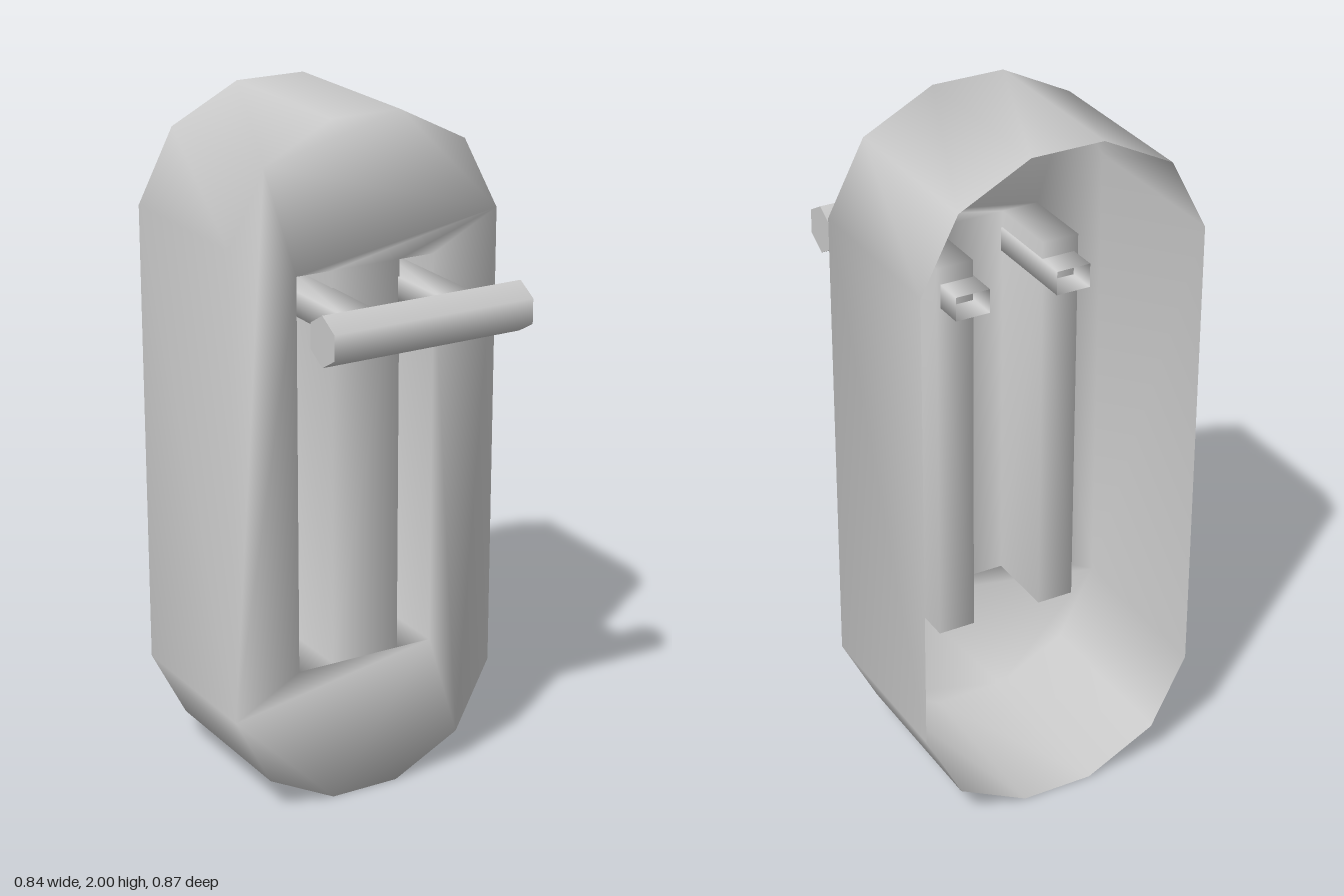
import * as THREE from 'three';
import { mergeGeometries, mergeVertices } from 'three/addons/utils/BufferGeometryUtils.js';

const FRONT = 0.085, BACK = -0.437, SLOT_BACK = -0.135;
const material = new THREE.MeshStandardMaterial({ color: 0xcccccc, side: THREE.DoubleSide });

// Open wall following a closed loop of [x, y] points; faces outward if counter-clockwise
function wall(loop, zBack, zFront) {
  const pos = [], index = [], n = loop.length;
  for (const z of [zBack, zFront]) for (const [x, y] of loop) pos.push(x, y, z);
  for (let i = 0; i < n; i++) {
    const j = (i + 1) % n;
    index.push(i, j, n + j, i, n + j, n + i);
  }
  const g = new THREE.BufferGeometry();
  g.setAttribute('position', new THREE.Float32BufferAttribute(pos, 3));
  g.setIndex(index);
  return g;
}

// Flat plate facing +z, with optional holes
function plate(loop, holes, z) {
  const toPoints = l => l.map(p => new THREE.Vector2(...p));
  const shape = new THREE.Shape(toPoints(loop));
  for (const h of holes) shape.holes.push(new THREE.Path(toPoints(h)));
  return new THREE.ShapeGeometry(shape).translate(0, 0, z);
}

// Welds pieces into one smoothly shaded surface
function weld(pieces) {
  for (const g of pieces) {
    g.deleteAttribute('normal');
    g.deleteAttribute('uv');
  }
  const g = mergeVertices(mergeGeometries(pieces), 1e-4);
  g.computeVertexNormals();
  return g;
}

const rect = (x0, x1, y0, y1) => [[x0, y0], [x1, y0], [x1, y1], [x0, y1]];

function createModel() {
  const model = new THREE.Group();
  const add = (name, geometry) => {
    const mesh = new THREE.Mesh(geometry, material);
    mesh.name = name;
    model.add(mesh);
    return mesh;
  };

  // Capsule outline, counter-clockwise
  const quarter = [[0.42, 1.686], [0.312, 1.895], [0.106, 2]];
  const top = [...quarter, ...quarter.map(([x, y]) => [-x, y]).reverse()];
  const outline = [...top, ...top.map(([x, y]) => [-x, 2 - y])];

  // Open-backed housing with two closed recessed slots
  const slots = [-0.161, 0.161].map(x => rect(x - 0.055, x + 0.055, 0.424, 1.584));
  const pieces = [wall(outline, BACK, FRONT), plate(outline, slots, FRONT)];
  for (const slot of slots) {
    pieces.push(wall([...slot].reverse(), SLOT_BACK, FRONT), plate(slot, [], SLOT_BACK));
  }
  add('housing', weld(pieces));

  // Hollow arms running out through the slots
  for (const [name, x] of [['rightArm', -0.153], ['leftArm', 0.153]]) {
    add(name, weld([wall(rect(x - 0.051, x + 0.051, 1.465, 1.535), -0.22, 0.33)]));
  }

  // Six-sided handle bar across the arms
  const bar = add('handleBar', new THREE.CylinderGeometry(0.071, 0.071, 0.612, 6));
  bar.geometry.rotateY(Math.PI / 2).rotateZ(Math.PI / 2);
  bar.geometry.computeBoundingBox();
  // Keep a corner of the hexagon pointing up
  const size = bar.geometry.boundingBox.getSize(new THREE.Vector3());
  if (size.y < size.z) bar.geometry.rotateX(Math.PI / 2);
  bar.position.set(0, 1.5, 0.376);

  return model;
}

export { createModel };
